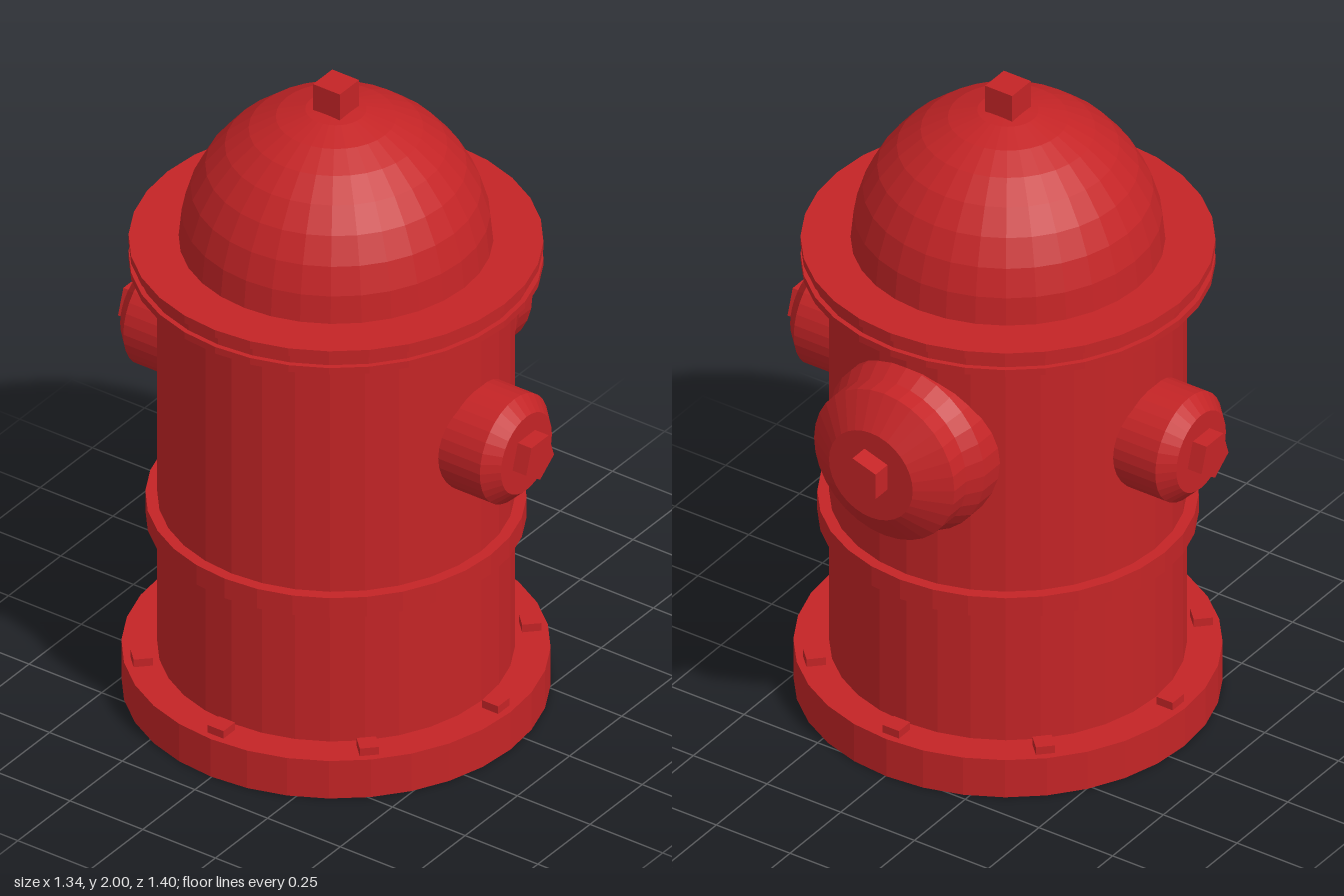
import * as THREE from 'three';

const red = new THREE.MeshStandardMaterial({ color: 0xc42426, flatShading: true });
red.name = 'hydrant red';

function add(parent, name, geometry, x = 0, y = 0, z = 0) {
  const mesh = new THREE.Mesh(geometry, red);
  mesh.name = name;
  mesh.position.set(x, y, z);
  parent.add(mesh);
  return mesh;
}

// Turned part from [radius, height] pairs, listed bottom to top
const turned = (points, segments = 32) =>
  new THREE.LatheGeometry(points.map(([r, y]) => new THREE.Vector2(r, y)), segments);

// Outlet cap facing +z with a five-sided nut on its end
function outlet(name, profile, nut) {
  const group = new THREE.Group();
  group.name = name;
  add(group, name + 'Cap', turned(profile).rotateX(Math.PI / 2));
  const length = nut.end - nut.start;
  const geometry = new THREE.CylinderGeometry(0.07, 0.07, length, 5)
    .rotateY(nut.turn).rotateX(Math.PI / 2);
  add(group, name + 'Nut', geometry, 0, nut.lift, nut.start + length / 2);
  return group;
}

export function createModel() {
  const model = new THREE.Group();
  model.name = 'fireHydrant';

  // Everything turns about the barrel axis, offset to balance the side outlet
  const hydrant = new THREE.Group();
  hydrant.name = 'hydrant';
  hydrant.position.set(-0.07, 0, -0.003);
  model.add(hydrant);

  // Stacked discs and barrel: name, radius, bottom, top
  const discs = [
    ['baseFlange', 0.6, 0, 0.125],
    ['barrel', 0.5, 0.125, 1.41],
    ['middleBand', 0.533, 0.56, 0.625],
    ['lowerCollar', 0.58, 1.402, 1.424],
    ['collarGasket', 0.565, 1.424, 1.455],
    ['upperCollar', 0.58, 1.455, 1.48],
  ];
  for (const [name, r, bottom, top] of discs) {
    add(hydrant, name, new THREE.CylinderGeometry(r, r, top - bottom, 32), 0, (bottom + top) / 2);
  }

  // Domed bonnet and its square operating nut
  add(hydrant, 'bonnet',
    new THREE.SphereGeometry(0.44, 32, 8, 0, Math.PI * 2, 0, Math.PI / 2), 0, 1.48);
  add(hydrant, 'operatingNut', new THREE.BoxGeometry(0.092, 0.1, 0.092), 0, 1.95);

  // Base bolts
  for (let i = 0; i < 8; i++) {
    const a = (i * Math.PI) / 4;
    const bolt = add(hydrant, 'baseBolt', new THREE.BoxGeometry(0.055, 0.05, 0.055),
      Math.sin(a) * 0.55, 0.125, Math.cos(a) * 0.55);
    bolt.rotation.y = a;
  }

  // Small hose outlets, front and back
  const hoseProfile = [[0.165, 0.4], [0.165, 0.613], [0.122, 0.655], [0, 0.655]];
  for (const [name, angle] of [['frontOutlet', 0], ['backOutlet', Math.PI]]) {
    const hose = outlet(name, hoseProfile, { start: 0.64, end: 0.702, lift: 0, turn: 0 });
    hose.position.y = 1.01;
    hose.rotation.y = angle;
    hydrant.add(hose);
  }

  // Large pumper outlet on the left
  const pumperProfile = [
    [0.264, 0.38], [0.264, 0.5], [0.238, 0.55], [0.238, 0.61], [0.142, 0.676], [0, 0.676],
  ];
  const pumper = outlet('pumperOutlet', pumperProfile,
    { start: 0.66, end: 0.735, lift: 0.015, turn: -Math.PI / 2 });
  pumper.position.y = 1.055;
  pumper.rotation.y = Math.PI / 2;
  hydrant.add(pumper);

  return model;
}
